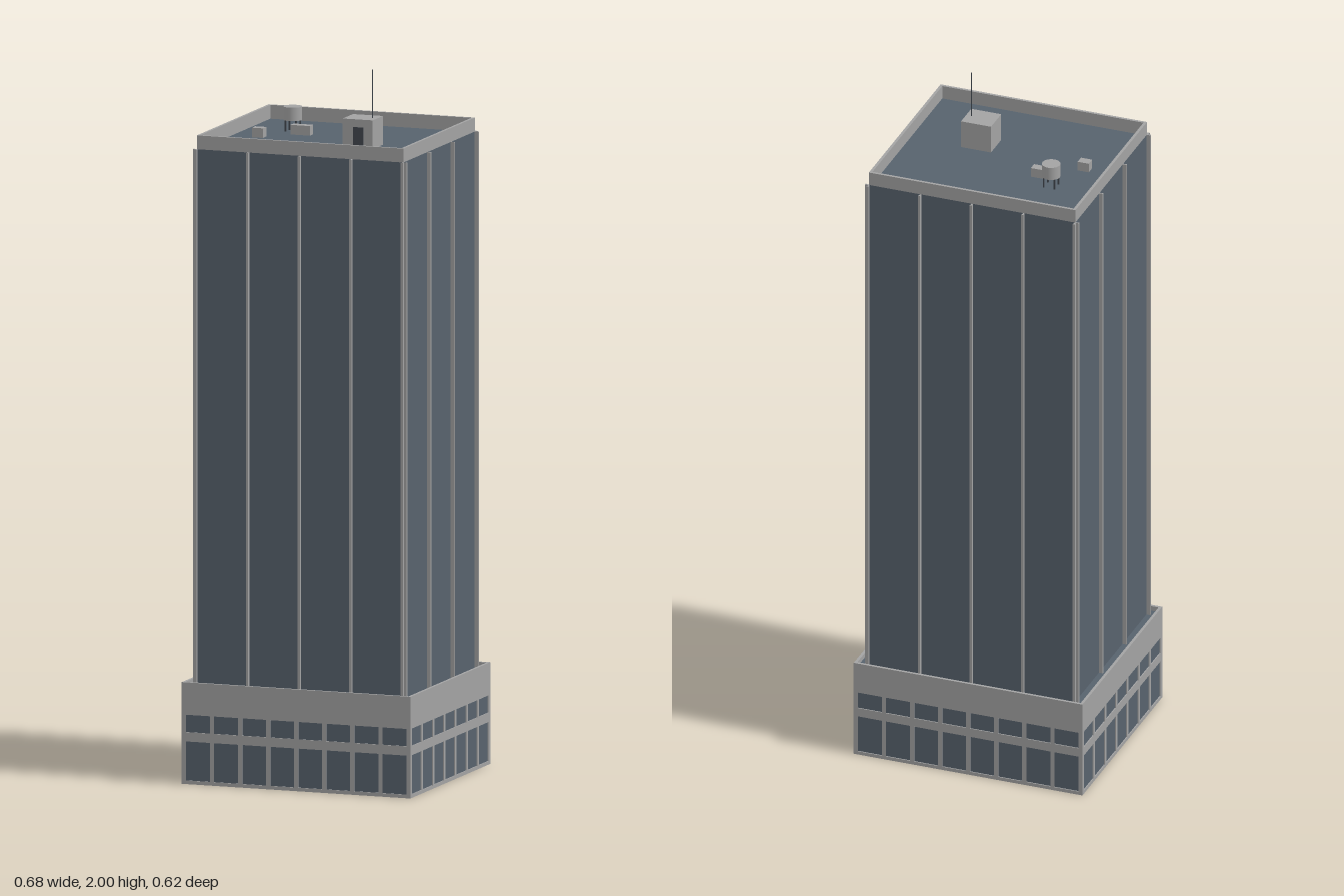
import * as THREE from 'three';

export function createModel() {
  const model = new THREE.Group();
  model.name = 'officeTower';
  const mat = (name, color, side = THREE.FrontSide) => {
    const m = new THREE.MeshStandardMaterial({ color, side });
    m.name = name;
    return m;
  };
  const concrete = mat('paleConcrete', 0xa3a3a3);
  const glass = mat('slateGlass', 0x57626d);
  const dark = mat('darkMetal', 0x41474e);

  const group = (name, parent = model) => {
    const g = new THREE.Group();
    g.name = name;
    parent.add(g);
    return g;
  };
  // Box given by its minimum and maximum on each axis
  const box = (parent, name, material, x0, x1, y0, y1, z0, z1) => {
    const m = new THREE.Mesh(new THREE.BoxGeometry(x1 - x0, y1 - y0, z1 - z0), material);
    m.name = name;
    m.position.set((x0 + x1) / 2, (y0 + y1) / 2, (z0 + z1) / 2);
    parent.add(m);
    return m;
  };
  // Hollow rectangular band of walls with half sizes hx, hz and thickness t
  const ring = (parent, name, material, hx, hz, y0, y1, t) => {
    const g = group(name, parent);
    for (const s of [-1, 1]) {
      const x = s * (hx - t / 2), z = s * (hz - t / 2);
      box(g, name + 'LongSide', material, -hx, hx, y0, y1, z - t / 2, z + t / 2);
      box(g, name + 'ShortSide', material, x - t / 2, x + t / 2, y0, y1, -hz + t, hz - t);
    }
    return g;
  };

  // Podium: hollow and open below, glazed behind a frame
  const PX = 0.34, PZ = 0.308;
  const podium = group('podium');
  ring(podium, 'podiumGlass', glass, PX - 0.003, PZ - 0.003, 0, 0.2, 0.002);
  ring(podium, 'podiumSill', concrete, PX, PZ, 0, 0.01, 0.007);
  ring(podium, 'podiumMidRail', concrete, PX, PZ, 0.12, 0.146, 0.007);
  ring(podium, 'podiumFascia', concrete, PX, PZ, 0.195, 0.286, 0.008);
  box(podium, 'podiumDeck', glass, -PX + 0.008, PX - 0.008, 0.266, 0.272, -PZ + 0.008, PZ - 0.008);

  // Podium mullions: eight bays on the long sides, seven on the short
  const mullions = group('podiumMullions', podium);
  const w = 0.006;
  for (const s of [-1, 1]) {
    for (let i = 0; i <= 8; i++) {
      const x = -PX + w + (i / 8) * 2 * (PX - w), z = s * (PZ - 0.0035);
      box(mullions, 'mullion', concrete, x - w, x + w, 0, 0.2, z - 0.0035, z + 0.0035);
    }
    for (let i = 0; i <= 7; i++) {
      const z = -PZ + w + (i / 7) * 2 * (PZ - w), x = s * (PX - 0.0035);
      box(mullions, 'mullion', concrete, x - 0.0035, x + 0.0035, 0, 0.2, z - w, z + w);
    }
  }

  // Tower shaft and roof parapet
  const TX = 0.306, TZ = 0.276, ROOF = 1.783;
  box(model, 'towerShaft', glass, -TX, TX, 0.27, ROOF, -TZ, TZ);
  ring(model, 'roofParapet', concrete, TX + 0.001, TZ + 0.001, ROOF, 1.822, 0.008);

  // Steel fins: a web with an outer flange, standing on the podium deck
  const fins = group('towerFins');
  const fin = (x, z, angle) => {
    const g = group('fin', fins);
    box(g, 'finWeb', concrete, -0.002, 0.002, 0.272, ROOF, 0, 0.012);
    box(g, 'finFlange', concrete, -0.0035, 0.0035, 0.272, ROOF, 0.009, 0.012);
    g.position.set(x, 0, z);
    g.rotation.y = angle;
  };
  for (const s of [-1, 1]) {
    for (let i = -2; i <= 2; i++) fin(i * 0.1535, s * TZ, s > 0 ? 0 : Math.PI);
    for (const z of [-0.276, -0.091, 0.091, 0.276]) fin(s * TX, z, s * Math.PI / 2);
  }

  // Stair house with door and mast
  const house = group('stairHouse');
  box(house, 'stairHouseWalls', concrete, 0.059, 0.148, ROOF, 1.864, 0.022, 0.101);
  box(house, 'stairHouseDoor', dark, 0.09, 0.12, ROOF, 1.842, 0.099, 0.102);
  const mast = new THREE.Mesh(new THREE.CylinderGeometry(0.0015, 0.0015, 0.136, 6), dark);
  mast.name = 'mast';
  mast.position.set(0.132, 1.932, 0.062);
  house.add(mast);

  // Water tank on four legs
  const tank = group('waterTank');
  tank.position.set(-0.167, 0, -0.1);
  const drum = new THREE.Mesh(new THREE.CylinderGeometry(0.026, 0.026, 0.038, 24), concrete);
  drum.name = 'tankDrum';
  drum.position.y = 1.834;
  tank.add(drum);
  for (const x of [-0.016, 0.016]) for (const z of [-0.016, 0.016])
    box(tank, 'tankLeg', dark, x - 0.002, x + 0.002, ROOF, 1.816, z - 0.002, z + 0.002);

  // Rooftop ventilation units
  box(model, 'largeVentUnit', concrete, -0.153, -0.095, ROOF, 1.81, -0.07, -0.045);
  box(model, 'smallVentUnit', concrete, -0.236, -0.203, ROOF, 1.81, 0.011, 0.037);

  return model;
}
